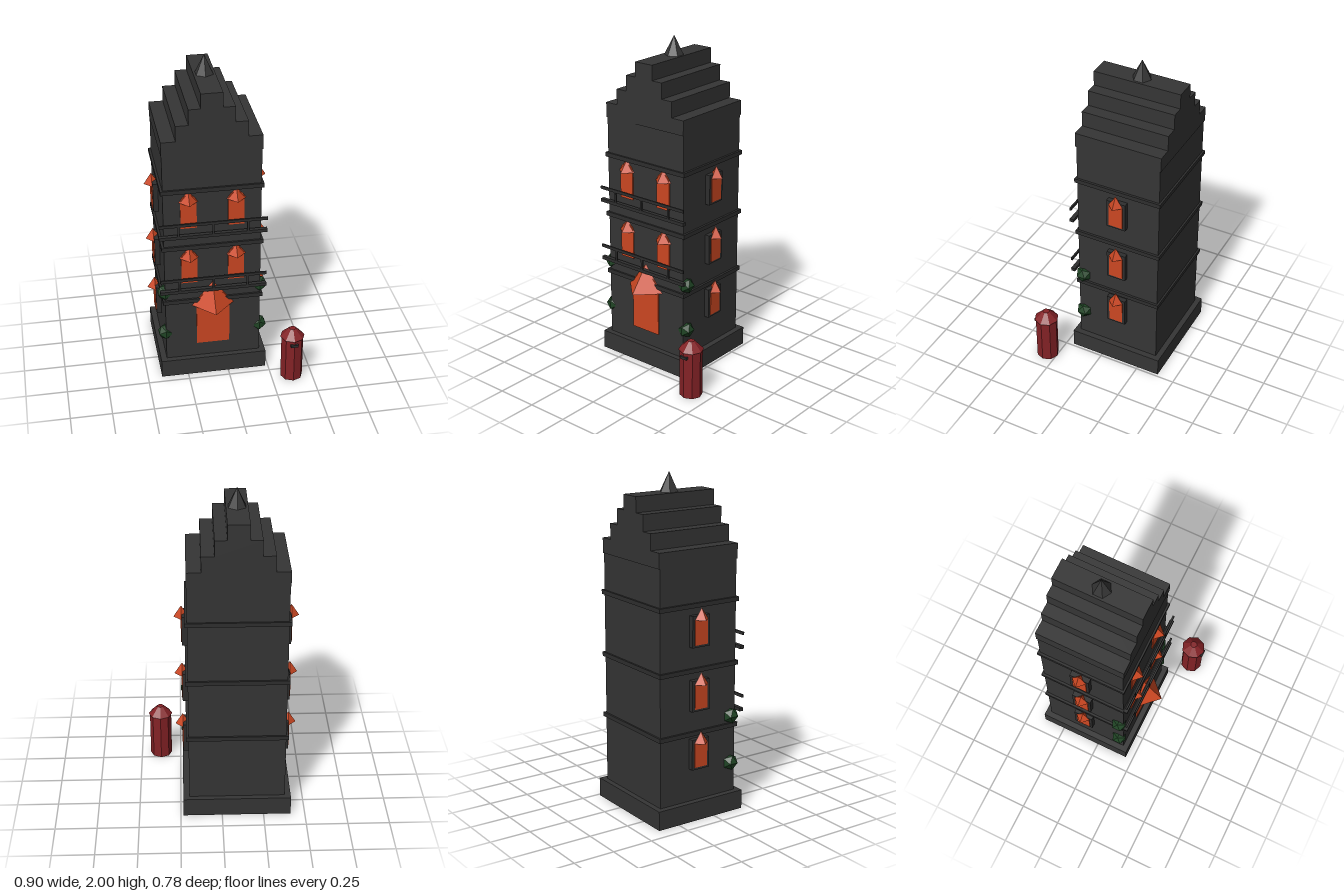
import * as THREE from 'three';

export function createModel() {
  const root = new THREE.Group();
  root.name = 'steppedGableHouse';
  const mat = (name, color) => {
    const m = new THREE.MeshStandardMaterial({ color, flatShading: true });
    m.name = name;
    return m;
  };
  const stone = mat('charcoal stone', 0x353535);
  const trim = mat('dark trim', 0x2e2e2e);
  const orange = mat('orange glow', 0xcc4722);
  const red = mat('post red', 0x842226);
  const green = mat('ivy green', 0x1f4424);

  const CX = -0.09, CZ = -0.0925; // axis of the tower
  const add = (name, geo, material, x, y, z) => {
    const mesh = new THREE.Mesh(geo, material);
    mesh.name = name;
    mesh.position.set(x, y, z);
    root.add(mesh);
    return mesh;
  };
  // box given by its centre in x and z, and its bottom and top
  const block = (name, material, w, d, y0, y1, x = CX, z = CZ) =>
    add(name, new THREE.BoxGeometry(w, y1 - y0, d), material, x, (y0 + y1) / 2, z);
  // pyramid hood with its corners on the axes
  const hood = (name, r, h, x, y, z) =>
    add(name, new THREE.ConeGeometry(r, h, 4), orange, x, y + h / 2, z);

  // plinth and tower
  block('plinth', stone, 0.648, 0.592, 0, 0.115);
  block('tower', stone, 0.576, 0.525, 0.115, 1.53);

  // stepped gable
  [[0.582, 1.515, 1.605], [0.414, 1.605, 1.7], [0.266, 1.7, 1.795], [0.126, 1.795, 1.885]]
    .forEach(([w, y0, y1]) => block('gableStep', stone, w, 0.537, y0, y1));
  add('finial', new THREE.ConeGeometry(0.057, 0.115, 6), stone, CX, 1.9425, -0.095);

  // string courses
  for (const y of [0.515, 0.892, 1.27]) block('stringCourse', trim, 0.604, 0.548, y, y + 0.026);

  // arched front opening: panel with a faceted round head
  const opening = (name, w, y0, y1, x) => {
    const s = new THREE.Shape();
    s.moveTo(-w / 2, 0);
    s.lineTo(w / 2, 0);
    for (let i = 0; i <= 8; i++) {
      const a = (i / 8) * Math.PI;
      s.lineTo(Math.cos(a) * w / 2, y1 - y0 + Math.sin(a) * w / 2);
    }
    const geo = new THREE.ExtrudeGeometry(s, { depth: 0.009, bevelEnabled: false });
    add(name, geo, orange, x, y0, 0.1675);
  };

  // front door
  opening('door', 0.2, 0.21, 0.49, CX);
  hood('doorHood', 0.127, 0.16, CX, 0.49, 0.17);

  // front windows and balconies on the two upper floors
  for (const lift of [0, 0.378]) {
    for (const x of [CX - 0.14, CX + 0.14]) {
      opening('frontWindow', 0.095, 0.66 + lift, 0.832 + lift, x);
      hood('frontWindowHood', 0.057, 0.072, x, 0.832 + lift, 0.17);
    }
    block('balconyFloor', trim, 0.638, 0.025, 0.608 + lift, 0.628 + lift, CX, 0.1975);
    block('balconyRail', trim, 0.638, 0.01, 0.69 + lift, 0.708 + lift, CX, 0.205);
    for (const dx of [-0.204, 0, 0.204])
      block('balconyPost', trim, 0.012, 0.01, 0.628 + lift, 0.69 + lift, CX + dx, 0.205);
  }

  // side windows on three floors
  for (const side of [-1, 1]) {
    for (const y of [0.328, 0.68, 1.058]) {
      const at = (d) => CX + side * d;
      block('sideWindowFrame', trim, 0.035, 0.12, y - 0.014, y + 0.17, at(0.301), -0.095);
      block('sideWindowPane', orange, 0.009, 0.087, y, y + 0.148, at(0.3185), -0.095);
      hood('sideWindowHood', 0.045, 0.07, at(0.32), y + 0.146, -0.095);
    }
    // ivy clumps on the front corners
    for (const y of [0.295, 0.585])
      add('ivyClump', new THREE.IcosahedronGeometry(0.05), green, CX + side * 0.287, y, 0.14);
  }

  // post box
  const px = 0.375, pz = 0.312;
  add('postBoxBody', new THREE.CylinderGeometry(0.068, 0.068, 0.295, 8), red, px, 0.1475, pz);
  add('postBoxCap', new THREE.CylinderGeometry(0.021, 0.075, 0.055, 8), red, px, 0.3225, pz);
  block('postBoxSlot', trim, 0.046, 0.02, 0.256, 0.272, px, pz + 0.065);

  return root;
}
